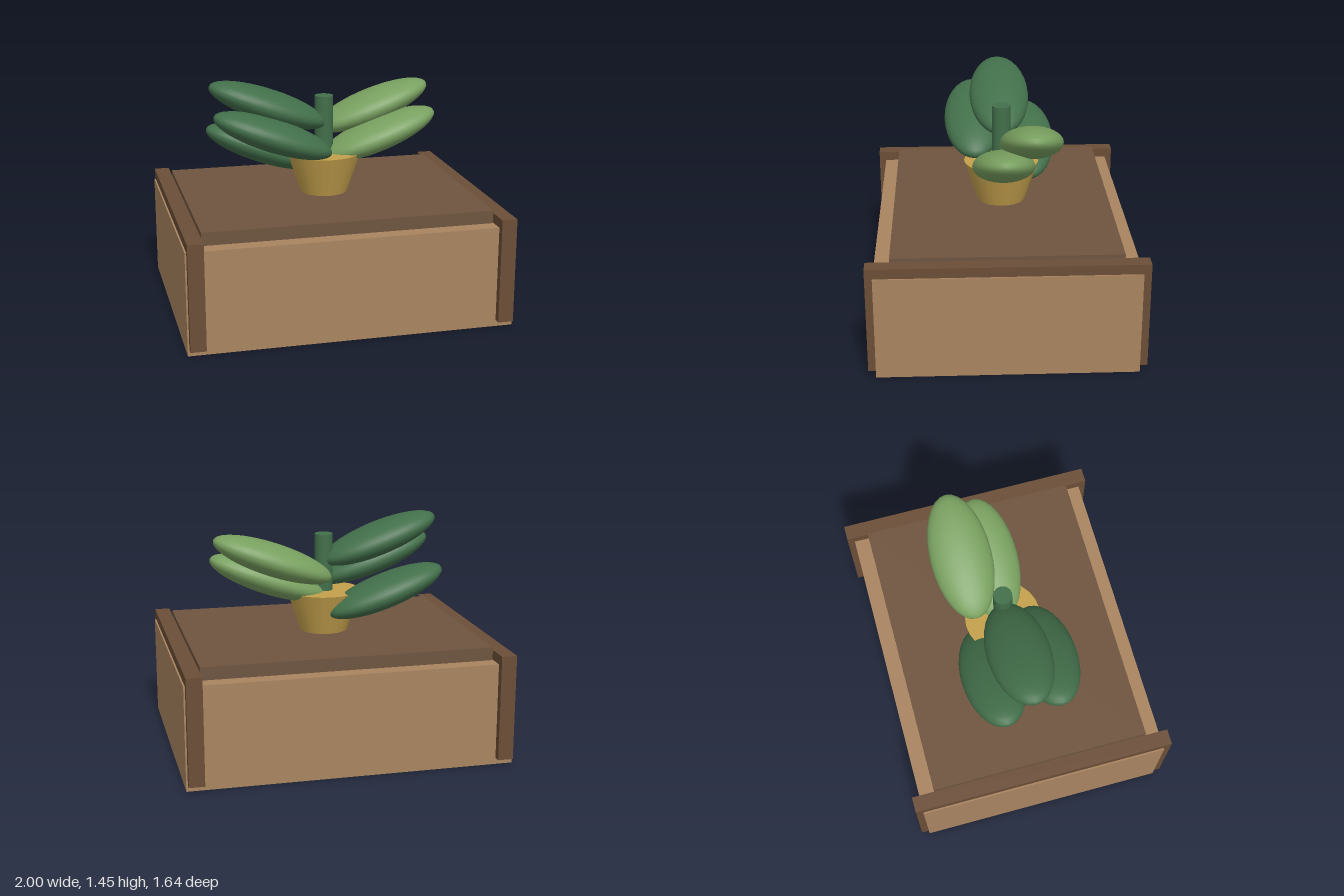
import * as THREE from 'three';

const mat = (color) => new THREE.MeshStandardMaterial({ color });

export function createModel() {
  const model = new THREE.Group();
  model.name = 'pottedPlantOnCrate';

  const wood = mat(0xa98460);
  const darkWood = mat(0x6b4e37);
  const lidWood = mat(0x6e543f);
  const clay = mat(0xc4a04c);
  const darkGreen = mat(0x426f4a);
  const lightGreen = mat(0x789f5f);

  function add(name, geometry, material, x, y, z) {
    const mesh = new THREE.Mesh(geometry, material);
    mesh.name = name;
    mesh.position.set(x, y, z);
    model.add(mesh);
    return mesh;
  }

  // Box from its width, vertical extent and depth
  const slab = (name, w, y0, y1, d, material, x = 0) =>
    add(name, new THREE.BoxGeometry(w, y1 - y0, d), material, x, (y0 + y1) / 2, 0);

  // Crate with a raised lid and an upright band near each end
  slab('crate', 2, 0, 0.635, 1.55, wood);
  slab('lid', 1.78, 0.62, 0.715, 1.36, lidWood);
  for (const [side, name] of [[1, 'leftBand'], [-1, 'rightBand']]) {
    slab(name, 0.095, 0.04, 0.695, 1.64, darkWood, side * 0.9425);
  }

  // Tapered pot and stem
  add('pot', new THREE.CylinderGeometry(0.235, 0.15, 0.255, 24), clay, 0, 0.8425, 0);
  add('stem', new THREE.CylinderGeometry(0.058, 0.058, 0.42, 16), darkGreen, 0, 1.12, 0);

  // Flattened leaves rising outward: side, height, depth
  const leafGeometry = new THREE.SphereGeometry(1, 32, 20).scale(0.39, 0.1, 0.19);
  const leaves = [
    [-1, 1.285, 0],
    [-1, 1.13, 0.165],
    [-1, 0.98, -0.165],
    [1, 1.212, -0.167],
    [1, 1.063, 0],
  ];
  for (const [side, y, z] of leaves) {
    const leaf = add(side < 0 ? 'darkLeaf' : 'lightLeaf', leafGeometry,
      side < 0 ? darkGreen : lightGreen, side * 0.357, y, z);
    leaf.rotation.z = side * 0.35;
  }

  return model;
}
